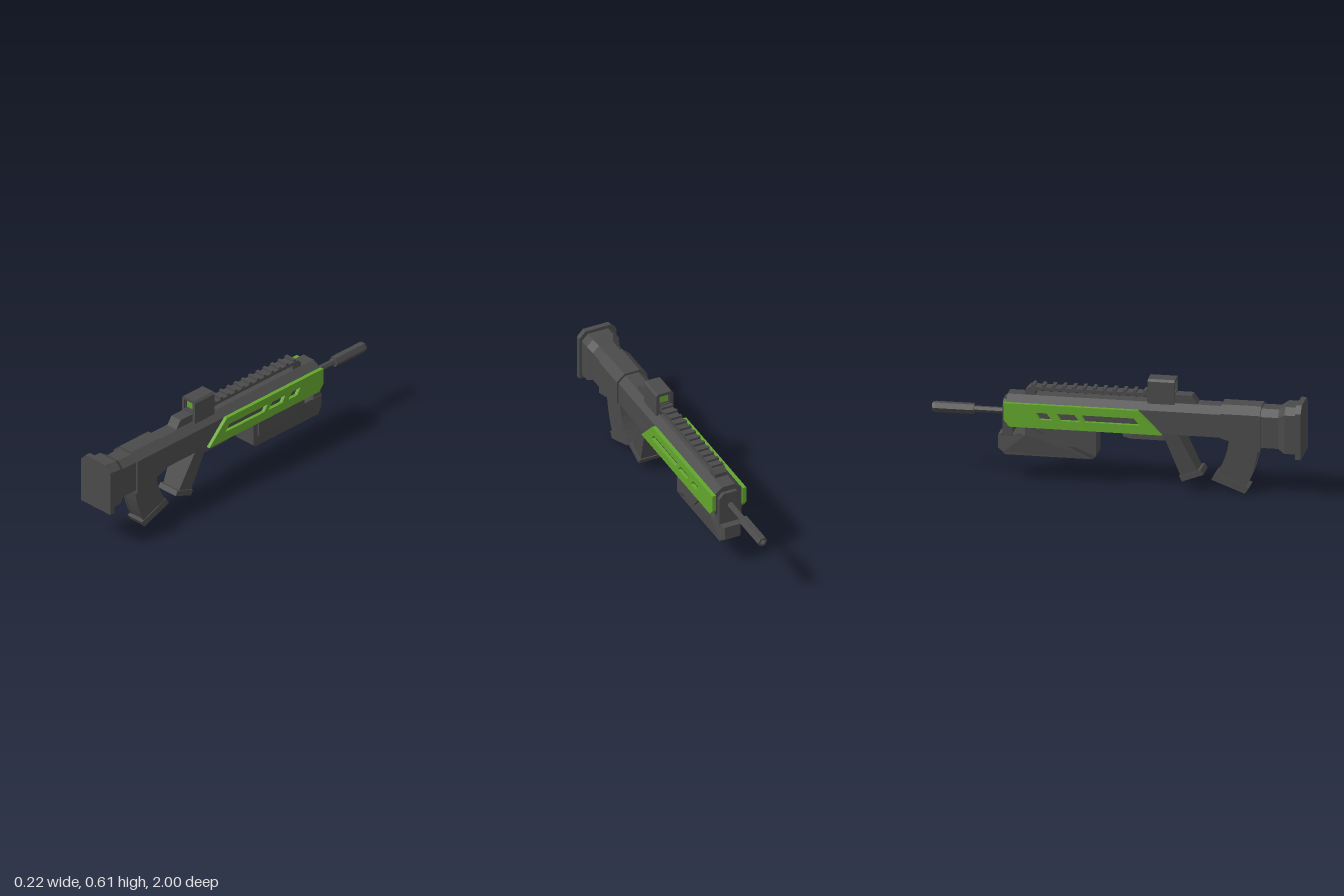
import * as THREE from 'three';

const grey = new THREE.MeshStandardMaterial({ color: 0x4a4a4a });
grey.name = 'dark grey';
const green = new THREE.MeshStandardMaterial({ color: 0x62a52d });
green.name = 'green';

const toPath = (pts, Type = THREE.Shape) => new Type(pts.map(([a, b]) => new THREE.Vector2(a, b)));

// Outline in (a, b) with holes, extruded to a depth centred on zero
function extrude(pts, depth, holes = []) {
  const shape = toPath(pts);
  shape.holes = holes.map((h) => toPath(h, THREE.Path));
  return new THREE.ExtrudeGeometry(shape, { depth, bevelEnabled: false }).translate(0, 0, -depth / 2);
}

// Side outline in (z, y), extruded across x
const sideExtrude = (pts, width, holes) => extrude(pts, width, holes).rotateY(-Math.PI / 2);

// Moves x by a rule giving the width factor at (y, z)
function widen(geo, rule) {
  const p = geo.attributes.position;
  for (let i = 0; i < p.count; i++) p.setX(i, p.getX(i) * rule(p.getY(i), p.getZ(i)));
  geo.computeVertexNormals();
  return geo;
}

// Chamfer-topped body; sections run from +z to -z: [z, halfWidth, yBottom, yTop, chamferX, chamferY]
function loft(sections) {
  const rings = sections.map(([z, w, y0, y1, cx, cy]) => [
    [-w, y0, z], [w, y0, z], [w, y1 - cy, z], [w - cx, y1, z], [cx - w, y1, z], [-w, y1 - cy, z],
  ]);
  const out = [];
  const tri = (...v) => v.forEach((q) => out.push(...q));
  for (let i = 0; i < rings.length - 1; i++) {
    const a = rings[i], b = rings[i + 1];
    for (let j = 0; j < 6; j++) {
      const k = (j + 1) % 6;
      tri(a[j], b[j], b[k]);
      tri(a[j], b[k], a[k]);
    }
  }
  const f = rings[0], e = rings[rings.length - 1];
  for (let j = 1; j < 5; j++) {
    tri(f[0], f[j], f[j + 1]);
    tri(e[0], e[j + 1], e[j]);
  }
  const geo = new THREE.BufferGeometry();
  geo.setAttribute('position', new THREE.Float32BufferAttribute(out, 3));
  geo.computeVertexNormals();
  return geo;
}

export function createModel() {
  const model = new THREE.Group();
  model.name = 'model';
  const add = (name, geo, mat = grey, x = 0, y = 0, z = 0) => {
    const mesh = new THREE.Mesh(geo, mat);
    mesh.name = name;
    mesh.position.set(x, y, z);
    model.add(mesh);
    return mesh;
  };

  // Stock and receiver
  add('buttPlate', loft([[1, 0.11, 0.225, 0.518, 0.036, 0.038], [0.97, 0.11, 0.225, 0.518, 0.036, 0.038]]));
  add('stock', loft([
    [0.97, 0.095, 0.25, 0.5, 0.036, 0.036], [0.91, 0.095, 0.25, 0.5, 0.036, 0.036],
    [0.872, 0.078, 0.27, 0.478, 0.036, 0.036], [0.77, 0.078, 0.27, 0.478, 0.036, 0.036],
  ]));
  add('magazineHousing', loft([
    [0.777, 0.09, 0.25, 0.49, 0.045, 0.04], [0.563, 0.09, 0.315, 0.49, 0.045, 0.04],
  ]));
  add('receiver', loft([[0.57, 0.08, 0.315, 0.478, 0.042, 0.036], [-0.59, 0.08, 0.315, 0.478, 0.042, 0.036]]));

  // Curved magazine: u runs across it, v down it
  const rearEdge = new THREE.QuadraticBezierCurve(
    new THREE.Vector2(0.762, 0.3), new THREE.Vector2(0.757, 0.16), new THREE.Vector2(0.695, 0.04));
  const frontEdge = new THREE.QuadraticBezierCurve(
    new THREE.Vector2(0.607, 0.33), new THREE.Vector2(0.597, 0.19), new THREE.Vector2(0.532, 0.098));
  const magPoint = (u, v) => rearEdge.getPoint(v).lerp(frontEdge.getPoint(v), u).toArray();
  const steps = 6;
  const strip = (u0, u1, v0, v1) => {
    const pts = [];
    for (let i = 0; i <= steps; i++) pts.push(magPoint(u0, v0 + ((v1 - v0) * i) / steps));
    for (let i = steps; i >= 0; i--) pts.push(magPoint(u1, v0 + ((v1 - v0) * i) / steps));
    return pts;
  };
  const slots = [0.2, 0.44, 0.68].map((u) => strip(u, u + 0.13, 0.35, 0.88));
  add('magazineCore', sideExtrude(strip(0.02, 0.98, 0, 1), 0.084), grey, 0.003);
  for (const s of [-1, 1]) {
    add('magazineSide', sideExtrude(strip(0, 1, 0, 1), 0.012, slots), grey, 0.003 + s * 0.044);
  }
  add('magazineBase', sideExtrude([[0.711, 0.033], [0.689, 0], [0.508, 0.068], [0.53, 0.103]], 0.109), grey, 0.002);

  // Grip, narrowing downwards, and its foot
  add('grip', widen(
    sideExtrude([[0.436, 0.115], [0.334, 0.32], [0.25, 0.32], [0.27, 0.27], [0.345, 0.08]], 2),
    (y) => 0.057 + 0.1 * Math.max(0, y - 0.1)));
  add('gripFoot', sideExtrude([[0.468, 0.096], [0.452, 0.121], [0.338, 0.081], [0.352, 0.052]], 0.13));

  // Guard rim under the receiver, open in the middle
  const guard = extrude(
    [[-0.065, 0.29], [-0.065, 0.08], [-0.035, 0.03], [0.035, 0.03], [0.065, 0.08], [0.065, 0.29]], 0.045,
    [[[-0.042, 0.26], [-0.042, 0.09], [-0.022, 0.055], [0.022, 0.055], [0.042, 0.09], [0.042, 0.26]]]);
  add('guardRim', guard.rotateX(Math.PI / 2), grey, 0, 0.2975, 0);

  // Lower fore-end with tapered underside and nose
  add('foreEnd', widen(
    sideExtrude([
      [-0.11, 0.318], [-0.11, 0.165], [-0.13, 0.145], [-0.605, 0.145], [-0.61, 0.158], [-0.64, 0.175],
      [-0.64, 0.25], [-0.61, 0.262], [-0.49, 0.262], [-0.49, 0.318],
    ], 2),
    (y, z) => (z < -0.62 ? 0.046 : y < 0.16 ? 0.058 : 0.068)));
  add('foreEndPanel', sideExtrude([[-0.14, 0.314], [-0.14, 0.215], [-0.33, 0.215], [-0.415, 0.314]], 0.16));
  add('frontColumn', loft([[-0.56, 0.065, 0.25, 0.448, 0.025, 0.03], [-0.612, 0.065, 0.25, 0.448, 0.025, 0.03]]));

  // Six-sided barrel with a bored, thicker end
  const barrel = new THREE.LatheGeometry([
    [0.017, 0.6], [0.017, 0.775], [0.03, 0.775], [0.03, 0.985], [0.026, 1], [0.015, 1], [0.015, 0.9], [0, 0.9],
  ].map(([r, h]) => new THREE.Vector2(r, h)), 6, Math.PI / 2).toNonIndexed();
  barrel.computeVertexNormals();
  add('barrel', barrel.rotateX(-Math.PI / 2), grey, 0, 0.37, 0);

  // Green side panels with slanted slots
  const slot = (z0, z1) => [[z0, 0.363], [z0 - 0.03, 0.4], [z1 - 0.024, 0.4], [z1, 0.363]];
  const panelHoles = [slot(0.13, -0.16), slot(-0.19, -0.293), slot(-0.34, -0.405)];
  for (const s of [-1, 1]) {
    add('sidePanel', sideExtrude(
      [[0.25, 0.314], [0.12, 0.444], [-0.6, 0.444], [-0.6, 0.35], [-0.57, 0.314]], 0.022, panelHoles),
    green, s * 0.089);
  }

  // Raised rail with teeth, held at both ends
  add('rail', new THREE.BoxGeometry(0.066, 0.018, 0.64), grey, 0, 0.512, -0.14);
  for (let i = 0; i < 12; i++) {
    add('railTooth', new THREE.BoxGeometry(0.066, 0.014, 0.018), grey, 0, 0.527, 0.147 - i * 0.0545);
  }
  add('railEnd', sideExtrude([[-0.44, 0.47], [-0.44, 0.521], [-0.475, 0.521], [-0.497, 0.5], [-0.497, 0.47]], 0.07));

  // Sight: sloped base, hollow hood, green lens
  add('sightBase', sideExtrude([[0.437, 0.47], [0.4, 0.523], [0.16, 0.523], [0.16, 0.47]], 0.068));
  add('sightHood', extrude(
    [[-0.05, 0.47], [0.05, 0.47], [0.05, 0.593], [0.039, 0.605], [-0.039, 0.605], [-0.05, 0.593]], 0.145,
    [[[-0.032, 0.532], [0.032, 0.532], [0.032, 0.588], [-0.032, 0.588]]]), grey, 0.003, 0, 0.2375);
  add('sightFrame', extrude(
    [[-0.032, 0.532], [0.032, 0.532], [0.032, 0.588], [-0.032, 0.588]], 0.125,
    [[[-0.027, 0.538], [0.027, 0.538], [0.027, 0.585], [-0.027, 0.585]]]), grey, 0.003, 0, 0.2375);
  for (const z of [0.185, 0.29]) {
    add('sightLens', new THREE.BoxGeometry(0.056, 0.05, 0.006), green, 0.003, 0.561, z);
  }

  return model;
}
